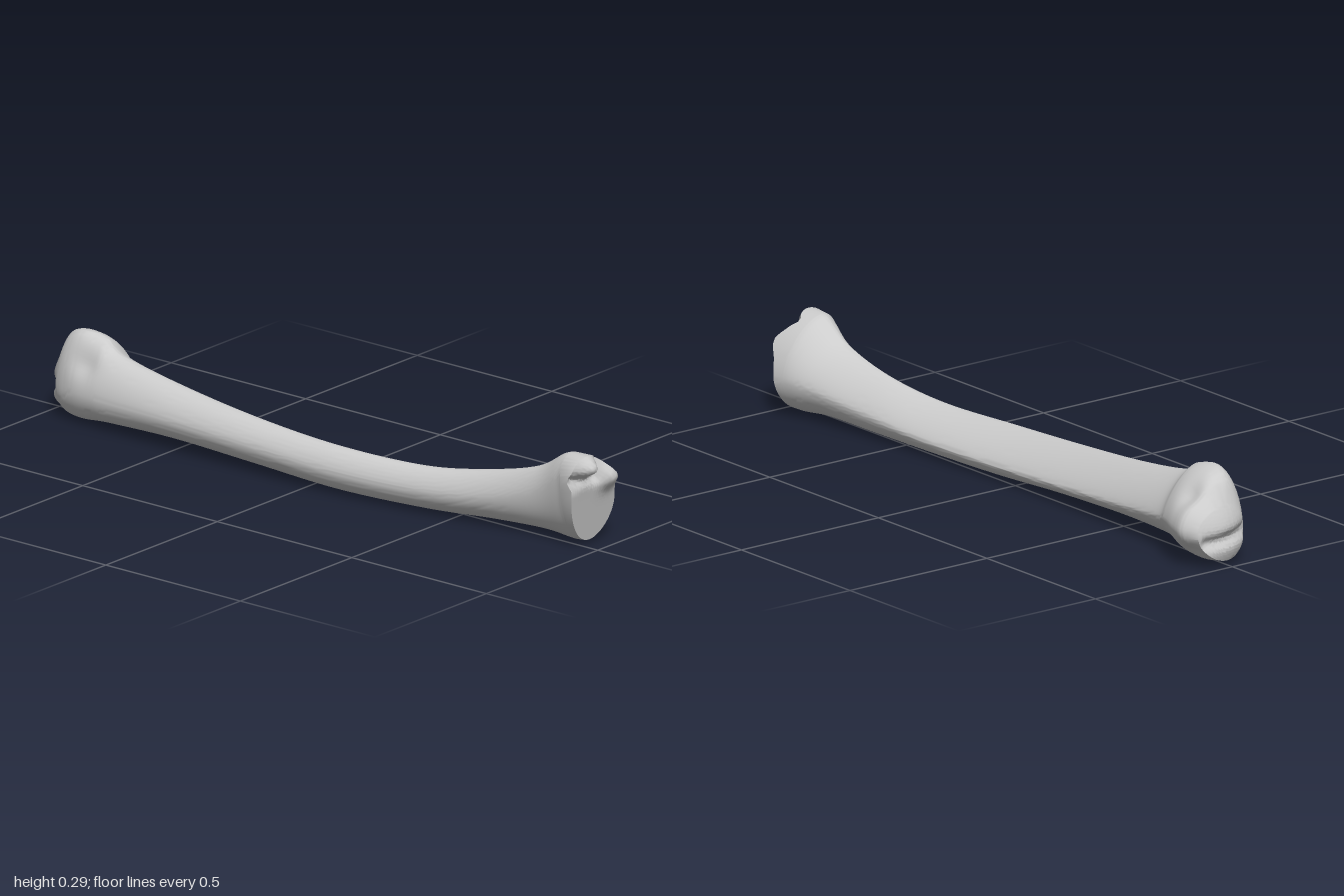
import * as THREE from 'three';
import { toCreasedNormals } from 'three/addons/utils/BufferGeometryUtils.js';

// Cross-sections along the shaft:
// x, top y,z, front y,z, bottom y,z, back y,z
const SECTIONS = [
  [-0.97, 0.185, 0.00, 0.09, 0.065, 0.018, 0.00, 0.115, -0.112],
  [-0.93, 0.25, 0.025, 0.095, 0.09, 0.004, 0.02, 0.115, -0.136],
  [-0.87, 0.272, 0.04, 0.10, 0.107, 0.002, 0.03, 0.115, -0.12],
  [-0.80, 0.26, 0.03, 0.10, 0.116, 0.012, 0.04, 0.115, -0.092],
  [-0.73, 0.222, 0.04, 0.10, 0.12, 0.019, 0.05, 0.105, -0.07],
  [-0.50, 0.187, 0.055, 0.10, 0.127, 0.025, 0.05, 0.08, -0.045],
  [-0.20, 0.159, 0.075, 0.092, 0.133, 0.016, 0.05, 0.06, -0.03],
  [0.10, 0.143, 0.08, 0.08, 0.128, 0.002, 0.04, 0.05, -0.03],
  [0.40, 0.142, 0.055, 0.08, 0.10, 0.004, 0.015, 0.055, -0.045],
  [0.62, 0.172, 0.03, 0.10, 0.073, 0.013, -0.015, 0.075, -0.062],
  [0.80, 0.22, 0.025, 0.15, 0.06, 0.018, -0.025, 0.10, -0.09],
  [0.90, 0.28, 0.025, 0.21, 0.073, 0.01, -0.03, 0.115, -0.115],
  [0.94, 0.29, 0.03, 0.235, 0.087, 0.012, -0.035, 0.11, -0.123],
];
// Flatness of the four sides (1 round, 2 straight): upper front, lower front, lower back, upper back
const FLATNESS = [1.2, 1.05, 1.2, 1.5];
const SIDES = 64, STEPS = 96, CAP = 20;

// Four guide rails carry the extreme points of every section
const rails = [1, 3, 5, 7].map(k => new THREE.CatmullRomCurve3(
  SECTIONS.map(s => new THREE.Vector3(s[0], s[k], s[k + 1])), false, 'catmullrom', 0.5));

// Closed outline of four quarter curves, flattened along the shaft and rounder at the ends
function ringAt(t) {
  const p = rails.map(r => r.getPoint(t));
  const ring = [];
  for (let j = 0; j < SIDES; j++) {
    const u = (j / SIDES) * 4, q = Math.floor(u), a = (u - q) * Math.PI / 2;
    const from = p[q], to = p[(q + 1) % 4];
    const e = 1 + (FLATNESS[q] - 1) * (1 - Math.pow(Math.abs(from.x), 6));
    const c = Math.pow(Math.max(Math.cos(a), 0), e), s = Math.pow(Math.sin(a), e);
    const [yp, zp] = q % 2 === 0 ? [c, s] : [s, c];
    const v = q % 2 === 0 ? from : to, h = q % 2 === 0 ? to : from;
    ring.push(new THREE.Vector3(from.x, h.y + (v.y - h.y) * yp, v.z + (h.z - v.z) * zp));
  }
  return ring;
}

const bell = (d, w) => Math.exp(-(d * d) / (w * w));

// Distance from (z, y) to a segment, used for grooves in the end faces
function segDist(z, y, z0, y0, z1, y1) {
  const dz = z1 - z0, dy = y1 - y0;
  const k = THREE.MathUtils.clamp(((z - z0) * dz + (y - y0) * dy) / (dz * dz + dy * dy), 0, 1);
  return Math.hypot(z - z0 - k * dz, y - y0 - k * dy);
}

// Slanted joint face with two projecting lips and an angled notch between them
function jointFaceX(y, z) {
  const slope = 0.938 + 0.035 * Math.min(y / 0.19, 1);
  const lips = 0.042 * bell(Math.hypot(z - 0.025, y - 0.252), 0.035)
    + 0.034 * bell(Math.hypot(z + 0.075, y - 0.205), 0.035);
  const d = Math.min(segDist(z, y, 0.12, 0.225, -0.022, 0.212), segDist(z, y, -0.022, 0.212, -0.03, 0.30));
  return slope + lips - 0.02 * bell(d, 0.018);
}

// Blunt head with a cross groove between two low tips
function headFaceX(y, z) {
  return -1.005 + 0.1 * ((y - 0.09) / 0.17) ** 2 + 0.035 * ((z + 0.03) / 0.1) ** 2
    + 0.02 * bell(segDist(z, y, -0.08, 0.08, 0.06, 0.095), 0.02);
}

const centre = ring => ['y', 'z'].map(k => ring.reduce((s, v) => s + v[k], 0) / SIDES);

// Shallow hollows around the head: x, y, z, radius, depth
const HOLLOWS = [
  [-0.83, 0.2, 0.095, 0.05, 0.018],
  [-0.90, 0.21, -0.075, 0.045, 0.02],
  [-0.94, 0.045, -0.10, 0.04, 0.015],
];
function dent(ring) {
  const [cy, cz] = centre(ring);
  for (const v of ring) {
    const { x, y, z } = v, len = Math.hypot(y - cy, z - cz);
    for (const [hx, hy, hz, r, depth] of HOLLOWS) {
      const k = depth * bell(Math.hypot(x - hx, y - hy, z - hz), r);
      v.y -= k * (y - cy) / len;
      v.z -= k * (z - cz) / len;
    }
  }
}

// Concentric rings that close an end, from the rim inwards
function capRings(rim, faceX) {
  const [cy, cz] = centre(rim);
  return Array.from({ length: CAP + 1 }, (_, i) => rim.map(v => {
    const s = 1 - i / CAP, y = cy + (v.y - cy) * s, z = cz + (v.z - cz) * s;
    return new THREE.Vector3(faceX(y, z), y, z);
  }));
}

// Skin over the rings; the first and last ring are single points
function loft(rings) {
  const pos = rings.flat().flatMap(v => v.toArray()), index = [];
  for (let i = 0; i < rings.length - 1; i++) {
    for (let j = 0; j < SIDES; j++) {
      const a = i * SIDES + j, b = i * SIDES + (j + 1) % SIDES, c = a + SIDES, d = b + SIDES;
      if (i > 0) index.push(a, b, c);
      if (i < rings.length - 2) index.push(b, d, c);
    }
  }
  const g = new THREE.BufferGeometry();
  g.setAttribute('position', new THREE.Float32BufferAttribute(pos, 3));
  g.setIndex(index);
  return toCreasedNormals(g, 0.8);
}

export function createModel() {
  const body = Array.from({ length: STEPS + 1 }, (_, i) => ringAt(i / STEPS));
  const head = capRings(body[0], headFaceX).reverse();
  const joint = capRings(body[STEPS], jointFaceX);

  // Drop the outermost body rings so the end faces join cleanly
  const shaft = body.slice(4, STEPS - 2);
  shaft.forEach(dent);

  const bone = new THREE.Mesh(loft([...head, ...shaft, ...joint]),
    new THREE.MeshStandardMaterial({ color: 0xcccccc }));
  bone.name = 'longBone';
  const group = new THREE.Group();
  group.name = 'bone';
  group.add(bone);
  return group;
}
